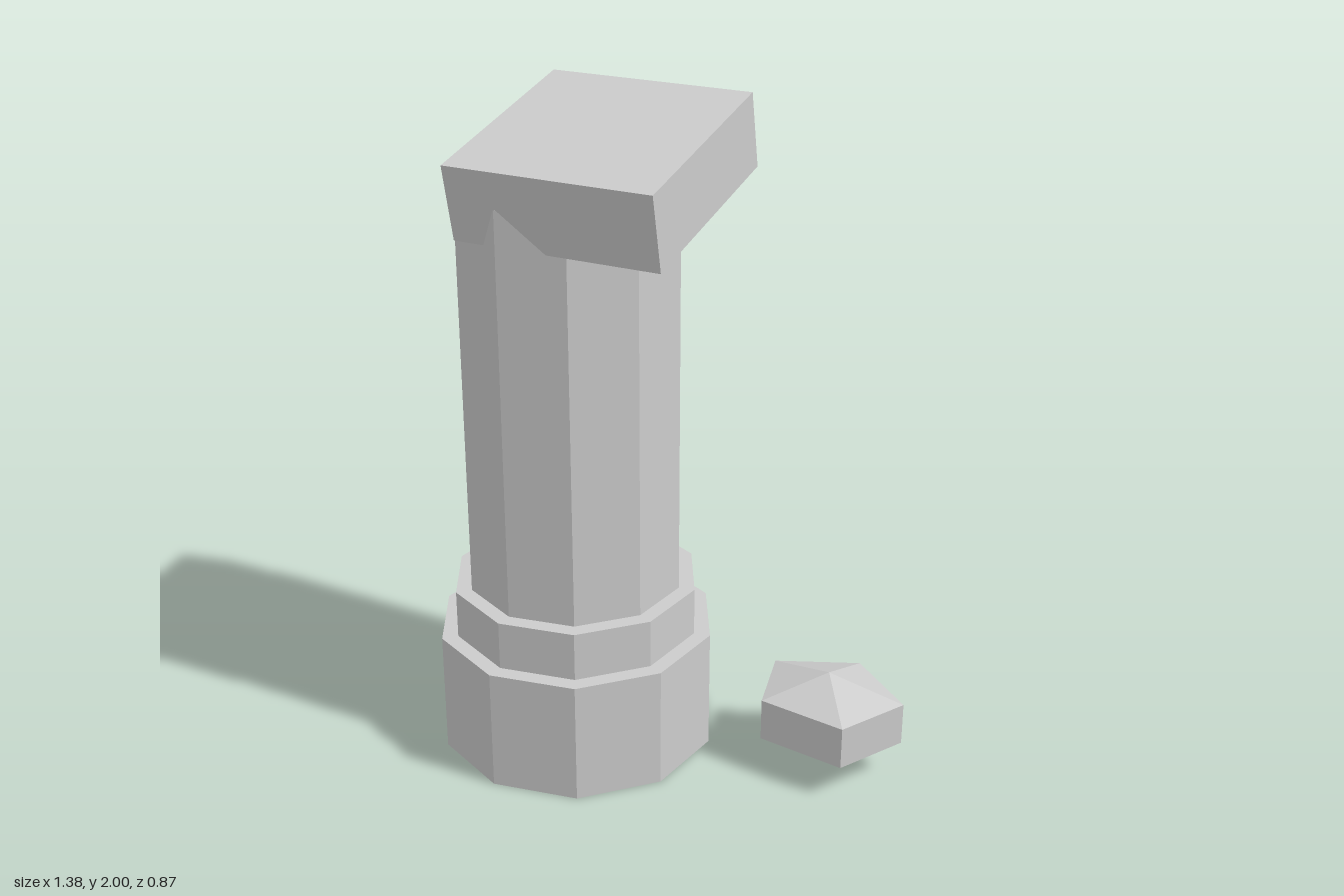
import * as THREE from 'three';

export function createModel() {
  const model = new THREE.Group();
  const material = new THREE.MeshStandardMaterial({ color: 0xcccccc, flatShading: true });

  const add = (name, geometry, x, y, z, parent = model) => {
    const mesh = new THREE.Mesh(geometry, material);
    mesh.name = name;
    mesh.position.set(x, y, z);
    parent.add(mesh);
    return mesh;
  };

  // Ten-sided column: stacked base, collar and shaft
  const column = new THREE.Group();
  column.name = 'column';
  column.position.set(-0.287, 0, 0.009);
  model.add(column);
  const tiers = [
    ['base', 0.426, 0, 0.38],
    ['collar', 0.376, 0.38, 0.53],
    ['shaft', 0.327, 0.53, 1.76],
  ];
  for (const [name, radius, bottom, top] of tiers) {
    const height = top - bottom;
    add(name, new THREE.CylinderGeometry(radius, radius, height, 10), 0, bottom + height / 2, 0, column);
  }

  // Square capital slab, slipped sideways and tipped forward
  const slab = add('tiltedSlab', new THREE.BoxGeometry(0.625, 0.225, 0.627), -0.163, 1.825, 0.007);
  slab.rotation.set(0.209, 0.143, 0, 'YXZ');

  // Loose five-sided stone floating just above the ground
  const stone = new THREE.SphereGeometry(1, 5, 3);
  stone.rotateY(-Math.PI / 2);
  stone.scale(0.27, 0.133, 0.227);
  add('looseStone', stone, 0.467, 0.178, -0.243);

  return model;
}
